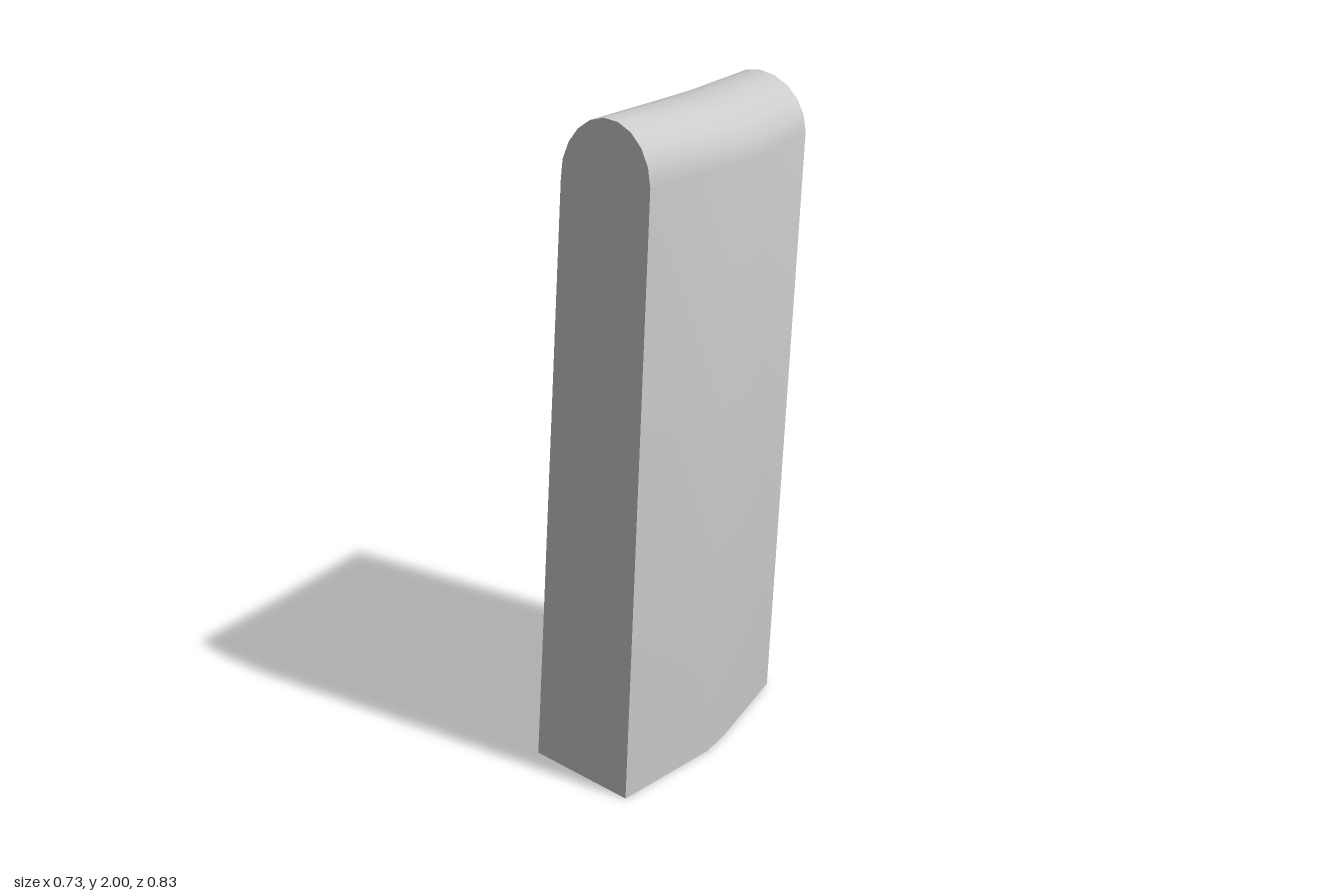
import * as THREE from 'three';
import { toCreasedNormals } from 'three/addons/utils/BufferGeometryUtils.js';

const ARC = 10;

// Closed outline of one section: flat base, leaning walls, rounded top at y = 2
function outline({ z, base, spring, leftY, rightY }) {
  const pts = [[base[0], 0, z], [base[1], 0, z]];
  const midX = (spring[0] + spring[1]) / 2, halfX = (spring[1] - spring[0]) / 2;
  const midY = (leftY + rightY) / 2, halfY = (rightY - leftY) / 2;
  for (let i = 0; i <= ARC; i++) {
    const a = (i / ARC) * Math.PI;
    pts.push([
      midX + halfX * Math.cos(a),
      midY + halfY * Math.cos(a) + (2 - midY) * Math.sin(a),
      z,
    ]);
  }
  return pts;
}

// Skin between sections ordered back to front, closed with a cap at each end
function loft(sections) {
  const n = sections[0].length, last = (sections.length - 1) * n;
  const index = [];
  for (let i = 0; i < sections.length - 1; i++) {
    for (let j = 0; j < n; j++) {
      const a = i * n + j, b = i * n + ((j + 1) % n);
      index.push(a, b, b + n, a, b + n, a + n);
    }
  }
  for (let j = 1; j < n - 1; j++) {
    index.push(0, j + 1, j, last, last + j, last + j + 1);
  }
  const geometry = new THREE.BufferGeometry();
  geometry.setAttribute('position', new THREE.Float32BufferAttribute(sections.flat(2), 3));
  geometry.setIndex(index);
  return toCreasedNormals(geometry, 0.6);
}

export function createModel() {
  const group = new THREE.Group();
  group.name = 'roundedSlab';

  // The left wall runs straight; the right wall bends near the middle
  const right = [[-0.417, 0.055, 0.165], [-0.065, 0.195, 0.307], [0.045, 0.228, 0.325], [0.417, 0.255, 0.365]];
  const sections = right.map(([z, baseX, topX]) => {
    const t = (z + 0.417) / 0.834;
    return outline({
      z,
      base: [THREE.MathUtils.lerp(-0.368, -0.13, t), baseX],
      spring: [THREE.MathUtils.lerp(-0.2, 0.02, t), topX],
      leftY: THREE.MathUtils.lerp(1.85, 1.81, t),
      rightY: 1.84,
    });
  });

  const slab = new THREE.Mesh(loft(sections), new THREE.MeshStandardMaterial({ color: 0xcccccc }));
  slab.name = 'slab';
  group.add(slab);
  return group;
}
